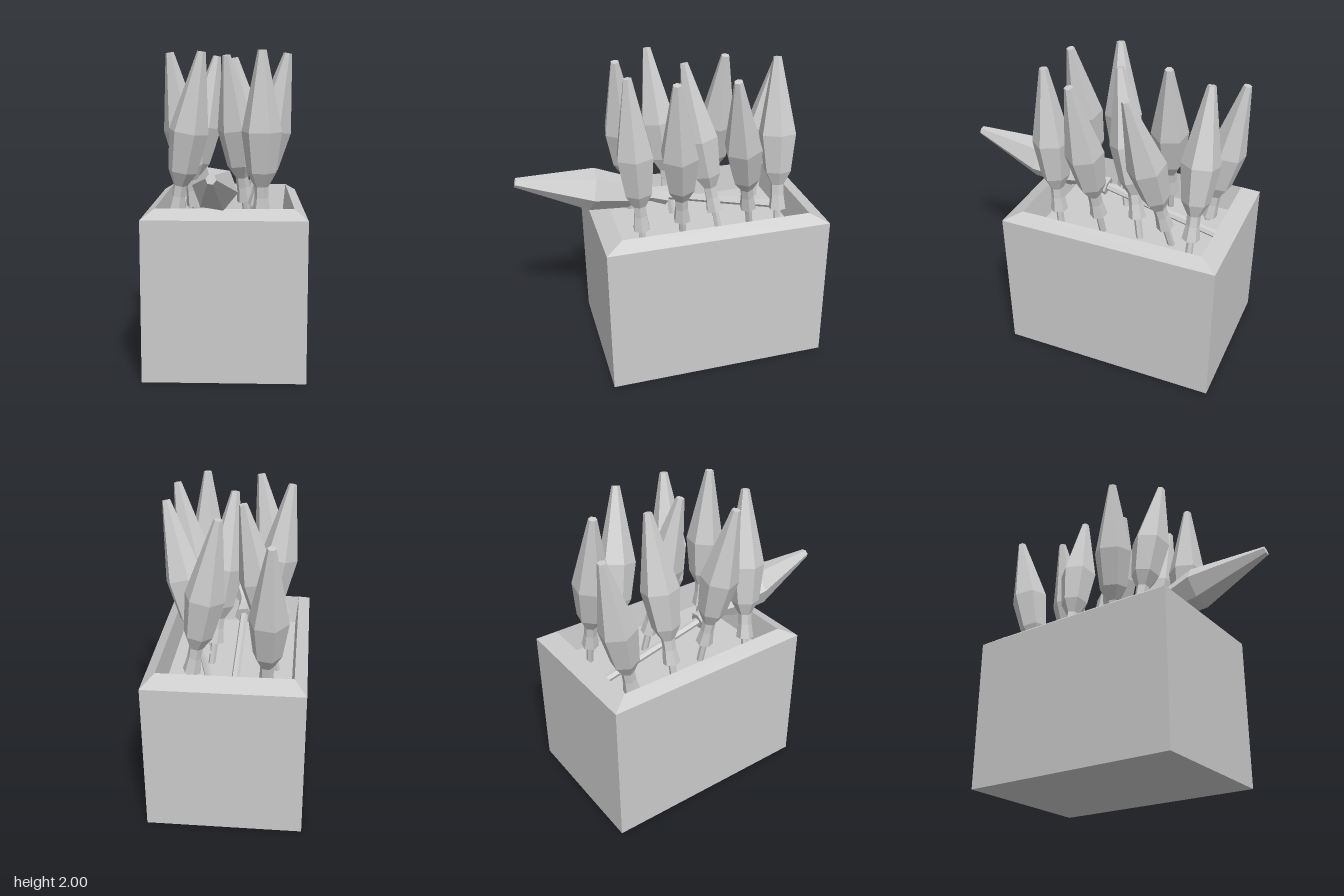
import * as THREE from 'three';

const material = new THREE.MeshStandardMaterial({ color: 0xcccccc, flatShading: true });

// Stalk head outline: distance from the tip, radius
const HEAD = [[0, 0], [0, 0.027], [0.49, 0.125], [0.74, 0.092], [0.83, 0.044], [0.9, 0.044], [1.0, 0.058], [1.0, 0.024]];

// One six-sided stalk with its tip at `tip`, its axis passing through `through`
function makeStalk(name, tip, through, length, girth = 1) {
  const points = [...HEAD, [length, 0.024], [length, 0]]
    .map(([d, r]) => new THREE.Vector2(r * girth, -d))
    .reverse();
  const stalk = new THREE.Mesh(new THREE.LatheGeometry(points, 6), material);
  stalk.name = name;
  const top = new THREE.Vector3(...tip);
  const axis = top.clone().sub(new THREE.Vector3(...through)).normalize();
  stalk.position.copy(top);
  stalk.quaternion.setFromUnitVectors(new THREE.Vector3(0, 1, 0), axis);
  return stalk;
}

export function createModel() {
  const group = new THREE.Group();
  group.name = 'planterWithStalks';

  // Hollow box with a sloping rim and a sunken floor
  const outline = [[0, 0], [1, 0], [1, 1], [0.843, 1.055], [0.805, 0.86], [0, 0.86]]
    .map(([r, y]) => new THREE.Vector2(r * Math.SQRT2, y));
  const boxGeometry = new THREE.LatheGeometry(outline, 4, Math.PI / 4);
  boxGeometry.scale(0.5, 1, 0.728);
  const box = new THREE.Mesh(boxGeometry, material);
  box.name = 'planterBox';
  box.rotation.y = 0.683;
  box.position.z = -0.05;
  group.add(box);

  // Upright stalks: tip x, tip y, tip z, neck x, neck z
  const upright = [
    [-0.61, 1.88, -0.37, -0.48, -0.25],
    [-0.285, 1.99, -0.46, -0.14, -0.55],
    [0.24, 1.98, -0.39, -0.04, -0.38],
    [-0.18, 1.99, -0.15, -0.3, -0.01],
    [0.06, 1.985, 0.03, 0.05, -0.17],
    [0.46, 1.99, -0.1, 0.27, -0.04],
    [0.49, 2.0, 0.2, 0.46, 0.16],
    [-0.12, 1.995, 0.37, -0.065, 0.21],
    [0.21, 1.99, 0.43, 0.035, 0.47],
  ];
  upright.forEach(([x, y, z, nx, nz], i) => {
    group.add(makeStalk(`uprightStalk${i + 1}`, [x, y, z], [nx, y - 0.93, nz], 1.25));
  });

  // Stalk leaning out over the rim
  group.add(makeStalk('fallenStalk', [0.71, 1.3, 0.905], [-0.42, 0.88, -0.49], 1.84, 1.1));

  return group;
}
